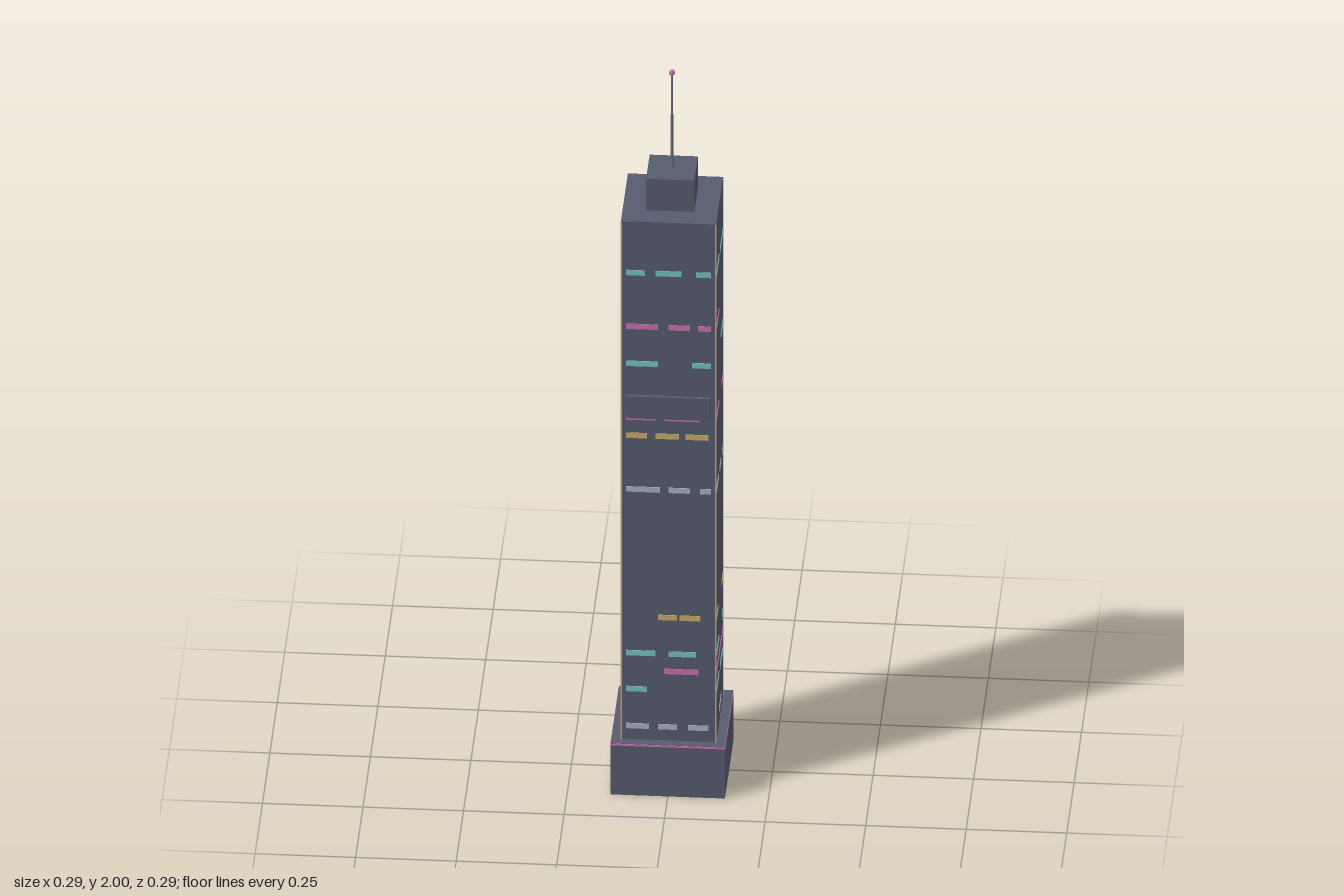
import * as THREE from 'three';

const paint = (name, color) => {
  const m = new THREE.MeshStandardMaterial({ color });
  m.name = name;
  return m;
};

export function createModel() {
  const tower = new THREE.Group();
  tower.name = 'skyscraper';
  const slate = paint('slate', 0x565b6e);
  const cyan = paint('cyan', 0x76c2be);
  const pink = paint('pink', 0xc86fb2);
  const gold = paint('gold', 0xc8aa68);
  const pale = paint('paleBlue', 0xa6afc4);
  const steel = paint('steel', 0x6a6f7f);

  const add = (name, geometry, material, x, y, z) => {
    const mesh = new THREE.Mesh(geometry, material);
    mesh.name = name;
    mesh.position.set(x, y, z);
    tower.add(mesh);
    return mesh;
  };
  // Box given by its bottom height
  const box = (name, material, w, h, d, x, y0, z) =>
    add(name, new THREE.BoxGeometry(w, h, d), material, x, y0 + h / 2, z);

  // Stacked masses
  box('base', slate, 0.284, 0.147, 0.284, 0, 0, 0);
  box('shaft', slate, 0.237, 1.483, 0.237, 0, 0.147, 0);
  box('crown', slate, 0.12, 0.09, 0.12, 0, 1.63, 0);

  // Mast with a small beacon
  add('mast', new THREE.CylinderGeometry(0.003, 0.004, 0.275, 6), steel, 0, 1.8575, 0);
  add('beacon', new THREE.SphereGeometry(0.008, 8, 6), pink, 0, 1.992, 0);

  // Light line around the rim of the base
  for (const s of [-1, 1]) {
    box('baseTrim', pink, 0.286, 0.005, 0.002, 0, 0.141, s * 0.142);
    box('baseTrim', pink, 0.002, 0.005, 0.286, s * 0.142, 0.141, 0);
  }

  // Corner light strips
  for (const x of [-1, 1]) for (const z of [-1, 1])
    box('cornerStrip', gold, 0.004, 1.482, 0.004, x * 0.1175, 0.147, z * 0.1175);

  // Blank billboard on the front
  box('billboard', slate, 0.208, 0.063, 0.009, 0, 1.071, 0.1225);

  // Lit window rows: height, colour, x spans (front/back), z spans (sides)
  const rows = [
    [1.484, cyan, [[-0.106, -0.058], [-0.032, 0.032], [0.069, 0.106]], [[0.106, 0.021], [-0.005, -0.063], [-0.085, -0.106]]],
    [1.33, pink, [[-0.106, -0.026], [0, 0.053], [0.074, 0.106]], [[0.106, 0.026]]],
    [1.224, cyan, [[-0.106, -0.026], [0.058, 0.106]], [[-0.037, -0.106]]],
    [1.07, pink, [[-0.106, -0.032], [-0.011, 0.079]], [[0.106, 0.032], [-0.058, -0.106]]],
    [1.018, gold, [[-0.106, -0.053], [-0.032, 0.026], [0.042, 0.1]], []],
    [0.864, pale, [[-0.106, -0.021], [0, 0.053], [0.079, 0.106]], [[0.106, 0.037], [0.005, -0.042], [-0.079, -0.106]]],
    [0.499, gold, [[-0.026, 0.021], [0.027, 0.079]], [[0.106, 0.058], [-0.058, -0.106]]],
    [0.395, cyan, [[-0.106, -0.032], [0, 0.069]], [[0.106, 0.026], [-0.074, -0.106]]],
    [0.345, pink, [[-0.011, 0.074]], [[0.106, 0.048], [0.032, -0.058], [-0.074, -0.106]]],
    [0.292, cyan, [[-0.106, -0.053]], [[0.106, 0.026], [-0.005, -0.09]]],
    [0.186, pale, [[-0.106, -0.048], [-0.026, 0.021], [0.048, 0.1]], [[0.021, -0.048]]],
  ];
  const h = 0.015, t = 0.003, face = 0.1185;
  for (const [y, material, xs, zs] of rows) {
    for (const s of [-1, 1]) {
      for (const [a, b] of xs)
        box('windowStrip', material, b - a, h, t, (a + b) / 2, y - h / 2, s * face);
      for (const [a, b] of zs)
        box('windowStrip', material, t, h, a - b, s * face, y - h / 2, (a + b) / 2);
    }
  }
  return tower;
}
